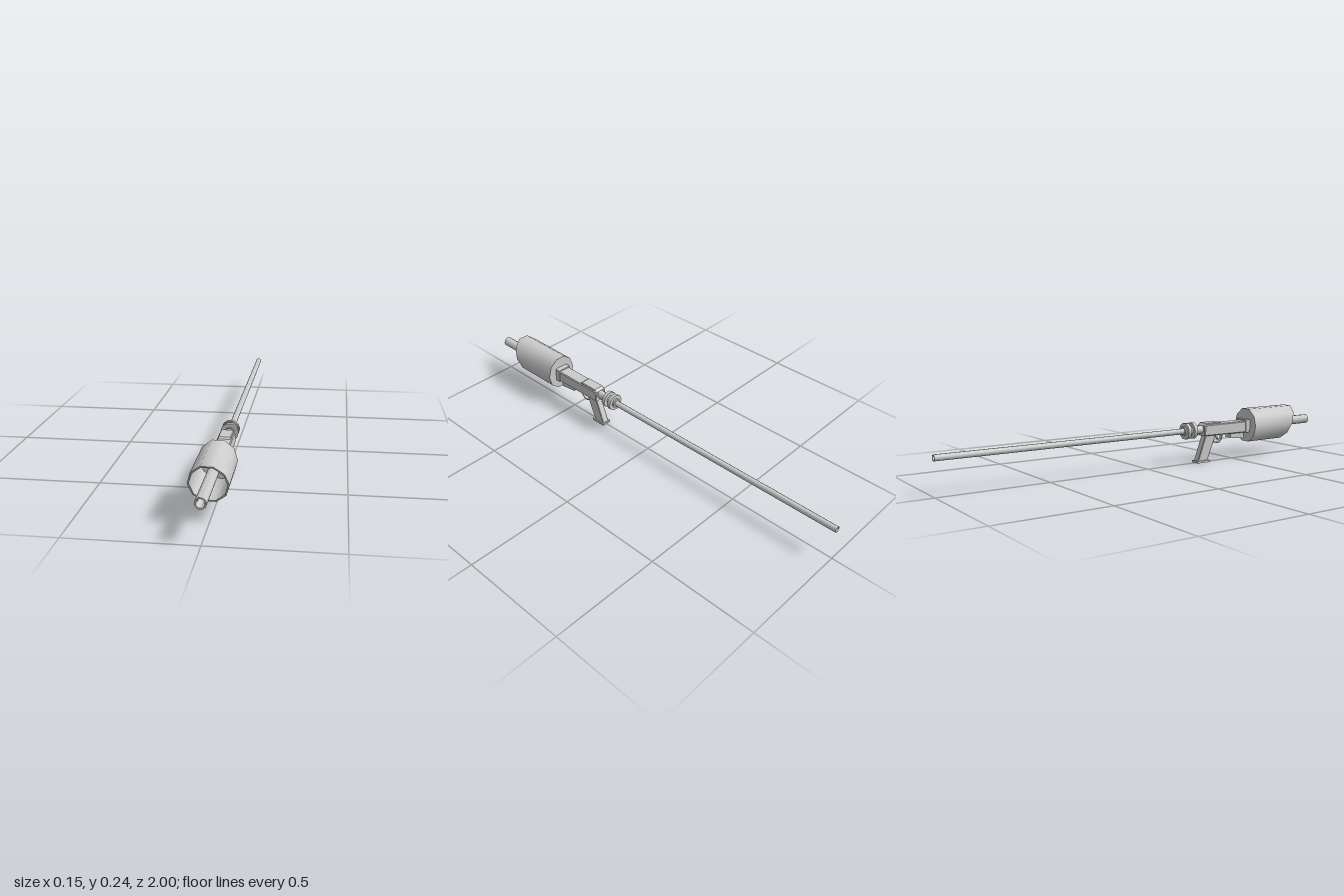
import * as THREE from 'three';
import { toCreasedNormals } from 'three/addons/utils/BufferGeometryUtils.js';

const AXIS = 0.157; // height of the barrel line
const material = new THREE.MeshStandardMaterial({ color: 0xcccccc });

export function createModel() {
  const model = new THREE.Group();
  model.name = 'longGun';

  const add = (name, geometry) => {
    const mesh = new THREE.Mesh(geometry, material);
    mesh.name = name;
    model.add(mesh);
    return mesh;
  };

  // Ten-sided turned part along z; profile is [radius, z], outside running towards +z
  const turned = (name, profile, rule) => {
    const points = profile.map(([r, z]) => new THREE.Vector2(r, z));
    const g = new THREE.LatheGeometry(points, 10, Math.PI / 2).rotateX(Math.PI / 2);
    if (rule) rule(g);
    g.translate(0, AXIS, 0);
    return add(name, toCreasedNormals(g, 0.7));
  };

  // Side outline in [z, y], extruded across the width
  const slab = (name, outline, width, hole, bevel = 0) => {
    const shape = new THREE.Shape(outline.map(([z, y]) => new THREE.Vector2(z, y)));
    if (hole) shape.holes.push(hole);
    const depth = width - 2 * bevel;
    const g = new THREE.ExtrudeGeometry(shape, {
      depth, bevelEnabled: bevel > 0, bevelSize: bevel, bevelOffset: -bevel,
      bevelThickness: bevel, bevelSegments: 1, curveSegments: 10,
    });
    g.translate(0, 0, -depth / 2).rotateY(-Math.PI / 2);
    return add(name, g);
  };

  const box = (name, w, y0, y1, z0, z1) =>
    add(name, new THREE.BoxGeometry(w, y1 - y0, z1 - z0).translate(0, (y0 + y1) / 2, (z0 + z1) / 2));

  // Hollow shroud with a raked open mouth, slightly taller than wide
  turned('shroud', [
    [0, 0.585], [0.0765, 0.585], [0.0765, 0.833], [0.0705, 0.833], [0.0705, 0.592], [0, 0.592],
  ], (g) => {
    g.scale(1, 1.1, 1);
    const p = g.attributes.position;
    for (let i = 0; i < p.count; i++) {
      if (p.getZ(i) > 0.7) p.setZ(i, p.getZ(i) + 0.41 * p.getY(i));
    }
  });

  // Front tube with a bored mouth
  turned('frontTube', [
    [0, 0.58], [0.0225, 0.58], [0.0225, 1], [0.017, 1], [0.012, 0.985], [0.012, 0.9], [0, 0.9],
  ]);

  // Long rear tube, open at the end
  turned('rearTube', [
    [0, -0.9], [0.0105, -0.9], [0.0105, -1], [0.0135, -1], [0.0135, 0.31], [0, 0.31],
  ]);

  // Collar and the pair of discs on their hub
  turned('collar', [[0, 0.272], [0.02, 0.272], [0.02, 0.31], [0, 0.31]]);
  turned('discHub', [[0, 0.2], [0.022, 0.2], [0.022, 0.266], [0, 0.266]]);
  for (const z of [0.207, 0.243]) {
    turned('disc', [[0, z], [0.039, z], [0.039, z + 0.017], [0, z + 0.017]]);
  }

  // Receiver body, its front block and raised top cover
  slab('receiver', [
    [0.307, 0.128], [0.585, 0.125], [0.585, 0.181], [0.316, 0.181], [0.307, 0.17],
  ], 0.062, null, 0.004);
  box('frontBlock', 0.068, 0.125, 0.187, 0.56, 0.598);
  slab('topCover', [
    [0.309, 0.165], [0.42, 0.165], [0.42, 0.179], [0.408, 0.188], [0.32, 0.188], [0.309, 0.176],
  ], 0.054, null, 0.003);

  // Wedge under the receiver
  slab('underBlock', [[0.475, 0.13], [0.475, 0.105], [0.56, 0.094], [0.56, 0.13]], 0.036);

  // Trigger guard loop and trigger
  const loop = (rz, ry) => new THREE.EllipseCurve(0.402, 0.117, rz, ry).getPoints(16);
  slab('triggerGuard', loop(0.032, 0.034).map((p) => [p.x, p.y]), 0.014,
    new THREE.Path(loop(0.026, 0.028)));
  slab('trigger', [[0.392, 0.13], [0.398, 0.112], [0.408, 0.099], [0.411, 0.102], [0.405, 0.114], [0.404, 0.13]], 0.008);

  // Raked grip and its base plate
  slab('grip', [[0.325, 0.135], [0.278, 0.008], [0.335, 0.008], [0.385, 0.125], [0.382, 0.135]], 0.034, null, 0.003);
  box('gripBase', 0.045, 0, 0.01, 0.273, 0.346);

  return model;
}
